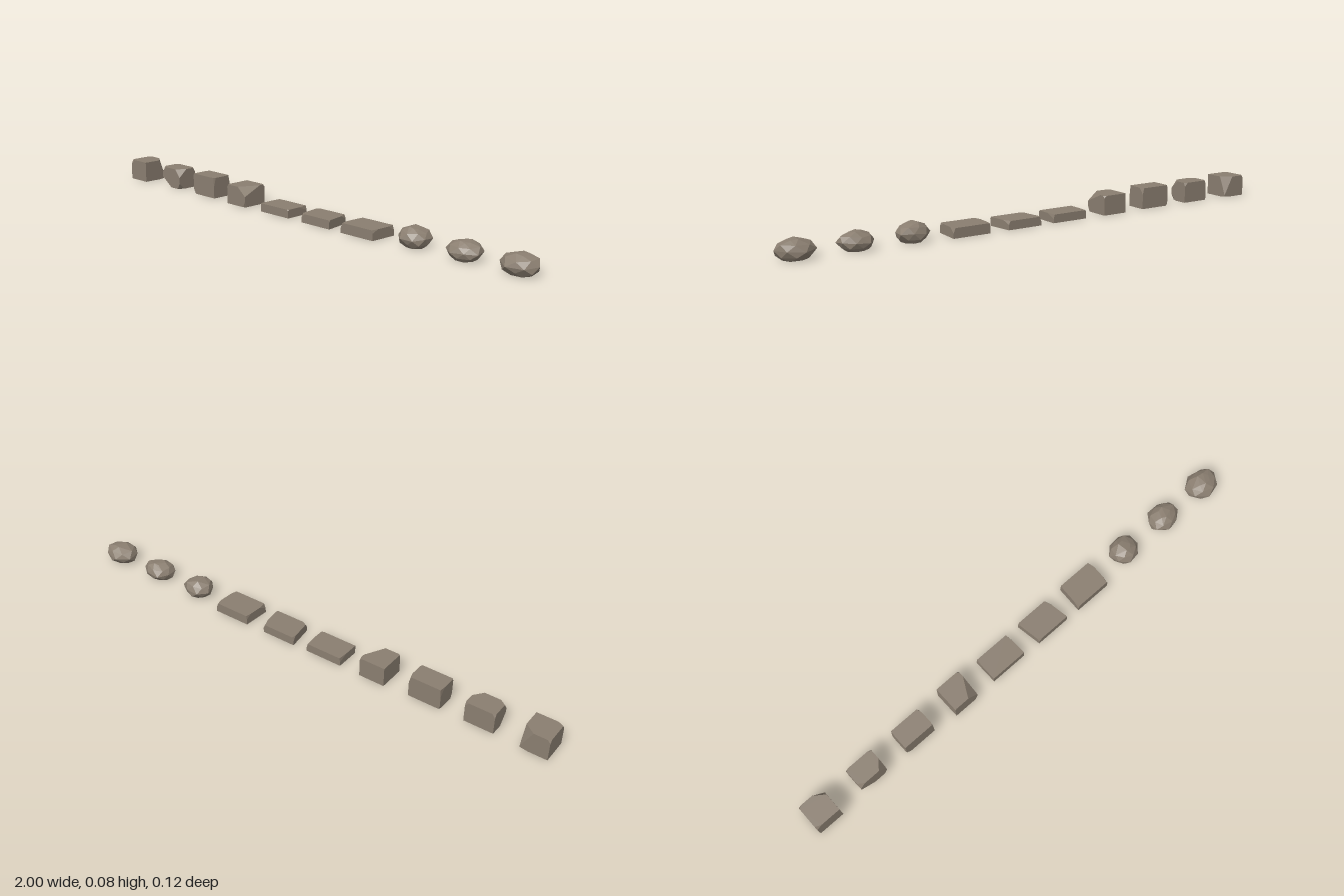
import * as THREE from 'three';
import { ConvexGeometry } from 'three/addons/geometries/ConvexGeometry.js';

const stone = new THREE.MeshStandardMaterial({ color: 0x8a7e70 });
stone.name = 'stone';
stone.flatShading = true;

function addStone(group, name, points) {
  const mesh = new THREE.Mesh(new ConvexGeometry(points), stone);
  mesh.name = name;
  group.add(mesh);
}

// Chipped box. Each cut trims a corner (Left/Right, Top/Bottom, Front/Back)
// by fractions of the box's width, height and depth.
function blockPoints([x0, x1, h, z0, z1], cuts, skew = 0) {
  const points = [];
  const w = x1 - x0, d = z1 - z0;
  for (const a of 'LR') for (const b of 'BT') for (const c of 'BF') {
    const u = a === 'R' ? 1 : 0, v = b === 'T' ? 1 : 0, t = c === 'F' ? 1 : 0;
    const inward = (f, k) => (f ? 1 - k : k);
    const put = (p, q, r) => points.push(
      new THREE.Vector3(x0 + p * w + (r - 0.5) * skew, q * h, z0 + r * d));
    const cut = cuts[a + b + c];
    if (!cut) { put(u, v, t); continue; }
    put(inward(u, cut[0]), v, t);
    put(u, inward(v, cut[1]), t);
    put(u, v, inward(t, cut[2]));
  }
  return points;
}

// Rounded stone made of uneven rings, widest a little below half height.
function boulderPoints([x0, x1, h, z0, z1], sides, turn, lean) {
  const rings = [[0, 0.62], [0.2, 0.87], [0.48, 1], [0.78, 0.8], [0.96, 0.4]];
  const points = [];
  rings.forEach(([v, r], k) => {
    for (let i = 0; i < sides; i++) {
      const a = turn + (i + (k % 2) * 0.5) / sides * Math.PI * 2;
      const wobble = 1 + 0.06 * Math.sin(i * 2.4 + k * 1.7 + turn);
      const y = v + (k > 1 ? 0.05 * Math.sin(i * 1.9 + k + turn) : 0);
      points.push(new THREE.Vector3(
        Math.cos(a) * r * wobble + lean * (v - 0.5), y, Math.sin(a) * r * wobble));
    }
  });
  // Fit to the given bounds
  const box = new THREE.Box3().setFromPoints(points);
  const size = box.getSize(new THREE.Vector3());
  for (const p of points) {
    p.sub(box.min).divide(size);
    p.set(x0 + p.x * (x1 - x0), p.y * h, z0 + p.z * (z1 - z0));
  }
  return points;
}

export function createModel() {
  const group = new THREE.Group();
  group.name = 'stoneRow';

  // Bounds are [left x, right x, height, back z, front z]
  const blocks = [
    [[-1, -0.9, 0.082, -0.05, 0.05],
      { RTB: [0.4, 0.9, 0.3], RBB: [0.3, 0.05, 0.25], LTF: [0.22, 0.22, 0.1], LTB: [0.1, 0.15, 0.1] }],
    [[-0.8, -0.688, 0.08, -0.042, 0.038],
      { LTF: [0.2, 0.3, 0.2], LBF: [0.5, 0.5, 0.4], RTF: [0.25, 0.4, 0.45], RBF: [0.12, 0.3, 0.3],
        LTB: [0.1, 0.2, 0.1], RTB: [0.12, 0.2, 0.1] }],
    [[-0.596, -0.47, 0.082, -0.042, 0.038],
      { LTB: [0.02, 0.35, 0.3], RTB: [0.05, 0.3, 0.25], RTF: [0.03, 0.45, 0.12], LTF: [0.03, 0.08, 0.06],
        LBF: [0.12, 0.25, 0.1], LBB: [0.06, 0.1, 0.1] }],
    [[-0.376, -0.274, 0.075, -0.052, 0.05],
      { RTF: [0.4, 0.45, 0.75], LTF: [0.06, 0.12, 0.1], RTB: [0.1, 0.12, 0.1], RBF: [0.1, 0.3, 0.1] }],
  ];
  blocks.forEach(([bounds, cuts], i) => addStone(group, `block${i + 1}`, blockPoints(bounds, cuts)));

  // Thin slabs with bevelled long edges
  const slabs = [
    [[-0.19, -0.042, 0.032, -0.05, 0.045],
      { LTB: [0.02, 0.5, 0.42], RTB: [0.03, 0.5, 0.42], RTF: [0.05, 0.15, 0.05] }, 0],
    [[0.023, 0.162, 0.033, -0.053, 0.048],
      { LTB: [0.05, 0.5, 0.15], RTB: [0.05, 0.4, 0.3], LTF: [0.12, 0.4, 0.1], RTF: [0.03, 0.2, 0.08] }, 0.015],
    [[0.23, 0.378, 0.037, -0.055, 0.05],
      { LTB: [0.02, 0.4, 0.2], RTB: [0.05, 0.5, 0.25], LTF: [0.05, 0.5, 0.3], RTF: [0.03, 0.3, 0.25] }, -0.006],
  ];
  slabs.forEach(([bounds, cuts, skew], i) =>
    addStone(group, `slab${i + 1}`, blockPoints(bounds, cuts, skew)));

  const boulders = [
    [[0.453, 0.57, 0.07, -0.055, 0.05], 8, 0.3, -0.05],
    [[0.66, 0.785, 0.065, -0.055, 0.05], 8, 1.1, 0.05],
    [[0.865, 1, 0.068, -0.06, 0.057], 7, 0, 0.05],
  ];
  boulders.forEach(([bounds, sides, turn, lean], i) =>
    addStone(group, `boulder${i + 1}`, boulderPoints(bounds, sides, turn, lean)));

  return group;
}
